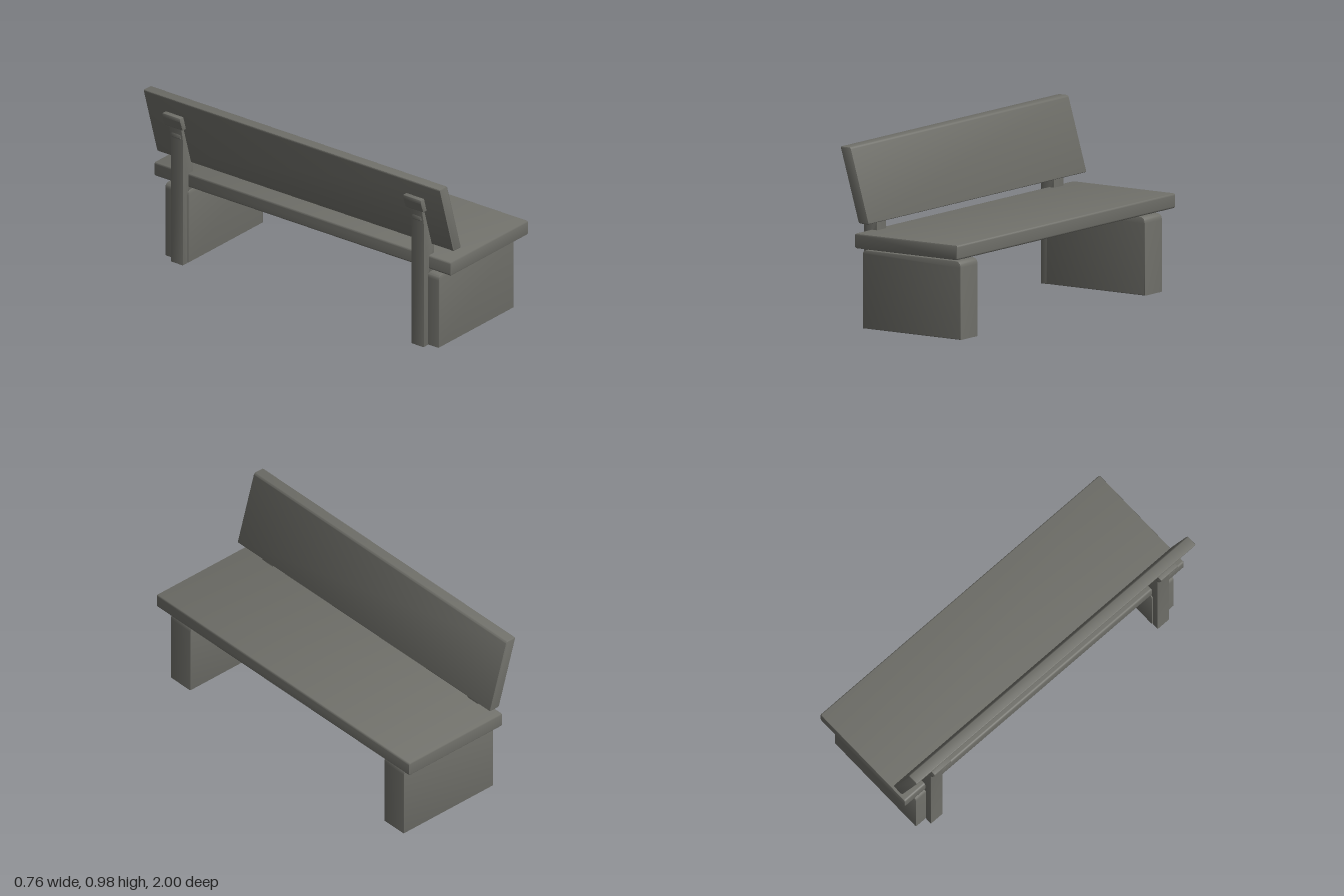
import * as THREE from 'three';
import { toCreasedNormals } from 'three/addons/utils/BufferGeometryUtils.js';

const stone = new THREE.MeshStandardMaterial({ color: 0x70706a });
stone.name = 'dark grey';

// Closed outline with rounded corners; each point is [x, y, radius]
function roundedShape(points) {
  const shape = new THREE.Shape();
  const n = points.length;
  points.forEach(([x, y, r = 0], i) => {
    const p = new THREE.Vector2(x, y);
    const toward = (q) => new THREE.Vector2(q[0], q[1]).sub(p).setLength(r).add(p);
    const a = toward(points[(i + n - 1) % n]);
    const b = toward(points[(i + 1) % n]);
    if (i === 0) shape.moveTo(a.x, a.y);
    else shape.lineTo(a.x, a.y);
    if (r > 0) shape.quadraticCurveTo(x, y, b.x, b.y);
  });
  shape.closePath();
  return shape;
}

// Side profile extruded along z, centred on zMid, with softened edges
function slab(name, points, width, zMid = 0, bevel = 0.006) {
  let geo = new THREE.ExtrudeGeometry(roundedShape(points), {
    depth: width - 2 * bevel,
    curveSegments: 5,
    bevelEnabled: true,
    bevelThickness: bevel,
    bevelSize: bevel,
    bevelOffset: -bevel,
    bevelSegments: 2,
  });
  geo.translate(0, 0, zMid - width / 2 + bevel);
  geo = toCreasedNormals(geo, 0.6);
  const mesh = new THREE.Mesh(geo, stone);
  mesh.name = name;
  return mesh;
}

export function createModel() {
  const bench = new THREE.Group();
  bench.name = 'bench';

  // Seat plank
  bench.add(slab('seat', [
    [-0.288, 0.442, 0.012], [0.377, 0.442, 0.012],
    [0.377, 0.522, 0.012], [-0.288, 0.522, 0.012],
  ], 2));

  // Leaning backrest plank
  bench.add(slab('backrest', [
    [-0.263, 0.577, 0.012], [-0.196, 0.577, 0.012],
    [-0.315, 0.981, 0.012], [-0.382, 0.981, 0.012],
  ], 2));

  for (const side of [1, -1]) {
    const name = side > 0 ? 'left' : 'right';

    // Block leg with rounded top corners
    bench.add(slab(name + 'Leg', [
      [-0.291, 0.001], [0.345, 0.001],
      [0.345, 0.423, 0.035], [-0.291, 0.423, 0.03],
    ], 0.16, side * 0.845));

    // Rear post, bent under the seat and following the backrest
    bench.add(slab(name + 'Post', [
      [-0.332, 0], [-0.293, 0], [-0.293, 0.42, 0.01],
      [-0.245, 0.425], [-0.245, 0.58], [-0.262, 0.6],
      [-0.335, 0.85], [-0.35, 0.82], [-0.332, 0.72],
    ], 0.085, side * 0.812, 0.003));

    // Small knuckle on the back of the post
    bench.add(slab(name + 'Knuckle', [
      [-0.32, 0.725], [-0.315, 0.775], [-0.337, 0.775, 0.01], [-0.345, 0.74, 0.01],
    ], 0.06, side * 0.812, 0.003));

    // Bracket head fixed to the back of the backrest
    bench.add(slab(name + 'Bracket', [
      [-0.328, 0.803], [-0.35, 0.882], [-0.38, 0.882, 0.006],
      [-0.38, 0.862, 0.004], [-0.358, 0.803, 0.006],
    ], 0.12, side * 0.812, 0.003));
  }
  return bench;
}
